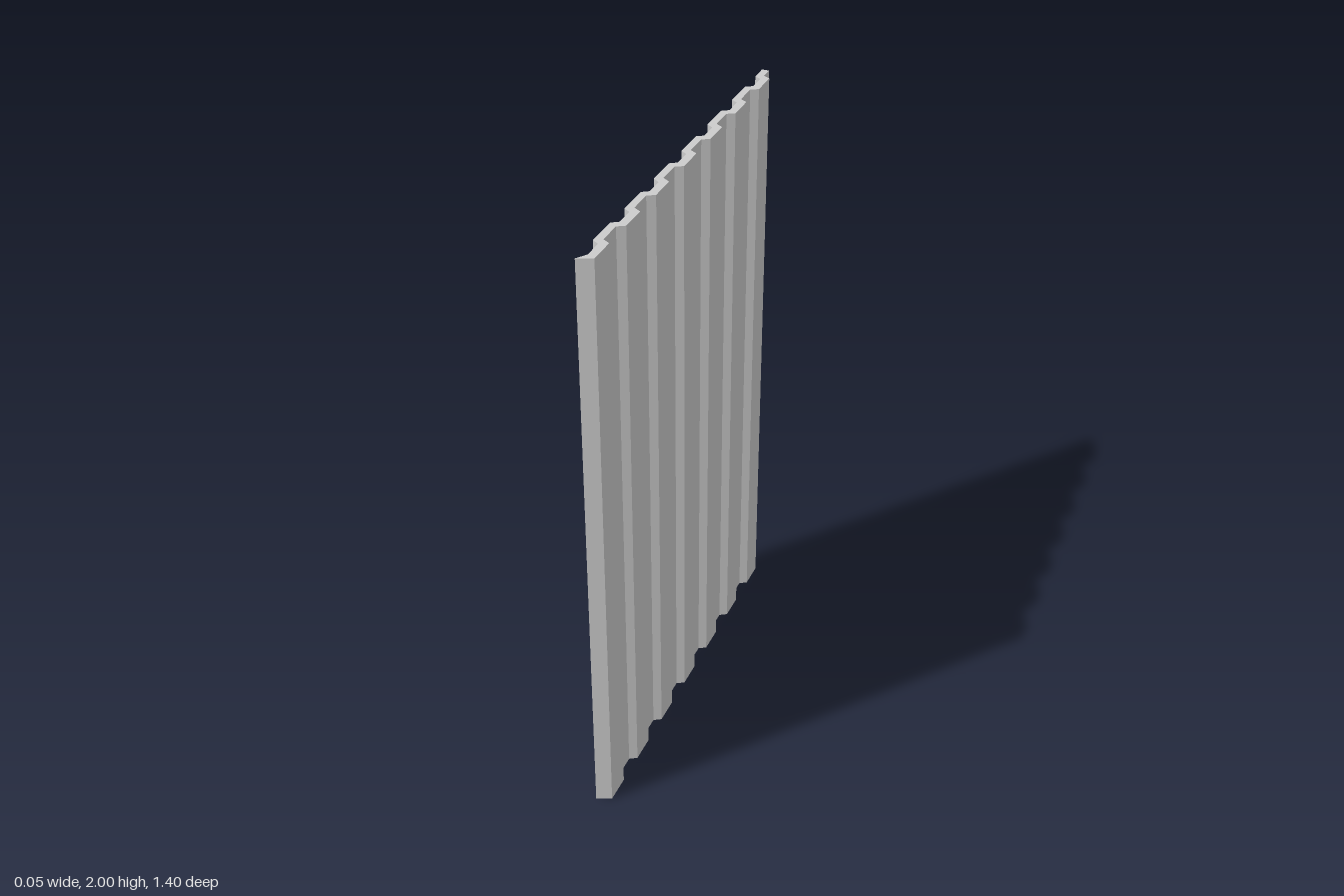
import * as THREE from 'three';

const HEIGHT = 2, OUT = 0.024, PITCH = 0.2037, RIBS = 7, FIRST = -0.637;
const END = 0.698;

// Closed cross-section of the sheet as [x, z] points
function sheetProfile() {
  const right = [[0, -END]], left = [[-OUT, -END]];
  for (let i = 0; i < RIBS; i++) {
    const s = FIRST + i * PITCH;
    right.push([0, s - 0.015], [OUT, s]);
    left.push([-OUT, s], [-0.002, s + 0.015]);
    if (i < RIBS - 1) {
      right.push([OUT, s + 0.093], [0, s + 0.108]);
      left.push([-0.002, s + 0.078], [-OUT, s + 0.093]);
    }
  }
  // slanted lip closing the last rib
  right.push([OUT, 0.678]);
  left.push([-0.002, 0.665], [-OUT, END]);
  return [...right, ...left.reverse()];
}

export function createModel() {
  const group = new THREE.Group();
  group.name = 'corrugatedPanel';

  const shape = new THREE.Shape(sheetProfile().map(([x, z]) => new THREE.Vector2(x, -z)));
  const geometry = new THREE.ExtrudeGeometry(shape, { depth: HEIGHT, steps: 3, bevelEnabled: false });
  geometry.rotateX(-Math.PI / 2);

  // Uneven rows, with a shallow dent along the foot of one rib
  const rows = [0, 0.16, 1.42, HEIGHT];
  const dentZ = FIRST + PITCH - 0.015;
  const pos = geometry.attributes.position;
  for (let i = 0; i < pos.count; i++) {
    const row = Math.round(pos.getY(i) / HEIGHT * 3);
    pos.setY(i, rows[row]);
    const atFoot = Math.abs(pos.getX(i)) < 0.001 && Math.abs(pos.getZ(i) - dentZ) < 0.001;
    if (atFoot && (row === 1 || row === 2)) pos.setZ(i, dentZ - 0.025);
  }
  geometry.computeVertexNormals();

  const sheet = new THREE.Mesh(geometry, new THREE.MeshStandardMaterial({ color: 0xcccccc, flatShading: true }));
  sheet.name = 'corrugatedSheet';
  group.add(sheet);
  return group;
}
